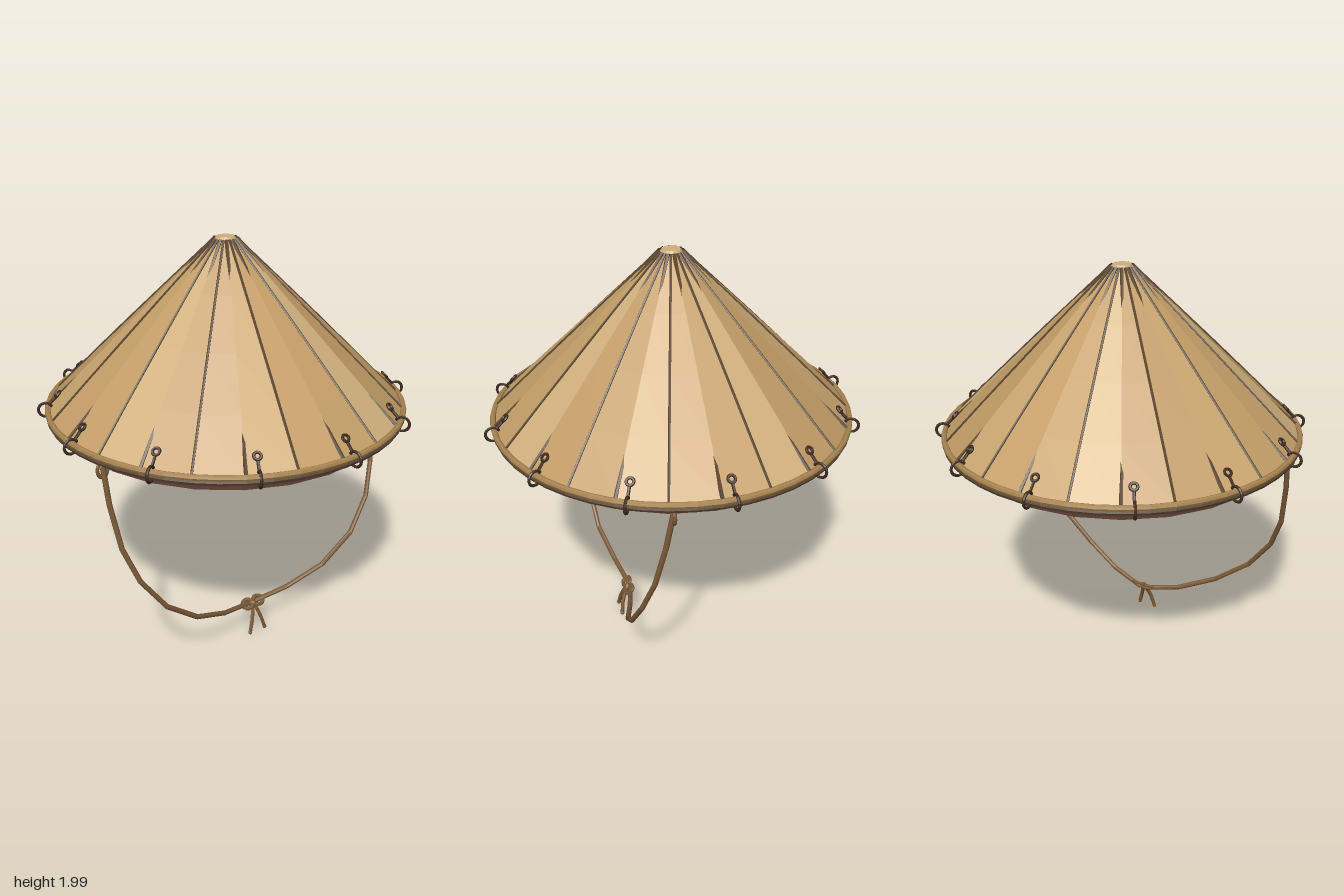
import * as THREE from 'three';

const mat = (color) => new THREE.MeshStandardMaterial({ color, flatShading: true, side: THREE.DoubleSide });
const V = (x, y, z) => new THREE.Vector3(x, y, z);

function add(parent, name, geometry, material) {
  const mesh = new THREE.Mesh(geometry, material);
  mesh.name = name;
  parent.add(mesh);
  return mesh;
}

// Tube through a few points
function cord(points, radius, segments, sides = 6) {
  return new THREE.TubeGeometry(new THREE.CatmullRomCurve3(points), segments, radius, sides, false);
}

// Straight rod with closed ends between two points
function rod(a, b, r1, r2 = r1, sides = 6) {
  const d = b.clone().sub(a);
  const g = new THREE.CylinderGeometry(r2, r1, d.length(), sides);
  g.applyQuaternion(new THREE.Quaternion().setFromUnitVectors(V(0, 1, 0), d.normalize()));
  const m = a.clone().add(b).multiplyScalar(0.5);
  return g.translate(m.x, m.y, m.z);
}

export function createModel() {
  const hat = new THREE.Group();
  hat.name = 'conicalHat';

  const straw = [0xc49f68, 0xc9a670, 0xbf9a64, 0xd0b07e].map(mat);
  const rib = mat(0x5c4630);
  const rimLight = mat(0xa5824f);
  const band = mat(0x5d4037);
  const rope = mat(0x7a5a38);
  const twine = mat(0x3e2c20);

  // Woven panels, one per gap between ribs
  const COUNT = 24, STEP = Math.PI * 2 / COUNT;
  const profile = [[0.85, 1.205], [0.655, 1.4], [0.455, 1.595], [0.255, 1.79], [0.055, 1.98]]
    .map(([r, y]) => new THREE.Vector2(r, y));
  const panels = new THREE.Group();
  panels.name = 'strawPanels';
  hat.add(panels);
  for (let i = 0; i < COUNT; i++) {
    const tone = straw[(i * 7 + Math.floor(i / 3)) % straw.length];
    add(panels, 'panel', new THREE.LatheGeometry(profile, 1, i * STEP, STEP), tone);
  }

  // Ribs: thick ones dip into the straw half way, thin ones stay on top
  const ribs = new THREE.Group();
  ribs.name = 'ribs';
  hat.add(ribs);
  for (let i = 0; i < COUNT; i++) {
    const thick = i % 2 === 0;
    const sag = thick ? 0.014 : -0.001;
    const path = [V(0.052, 1.985, 0), V(0.455 - sag, 1.595 - sag, 0), V(0.848, 1.21, 0)];
    const r = add(ribs, 'rib', cord(path, thick ? 0.009 : 0.006, 8, 5), rib);
    r.rotation.y = i * STEP;
  }

  // Crown button
  add(hat, 'crown', new THREE.CylinderGeometry(0.042, 0.062, 0.03, 16), straw[3]).position.y = 1.98;

  // Rim hoops
  const hoop = (name, radius, tube, y, material) => {
    const m = add(hat, name, new THREE.TorusGeometry(radius, tube, 8, 48), material);
    m.rotation.x = Math.PI / 2;
    m.position.y = y;
  };
  hoop('lowerHoop', 0.842, 0.017, 1.192, rib);
  hoop('upperHoop', 0.848, 0.014, 1.212, rimLight);

  // Inner head band
  const bandShape = [[0.745, 1.215], [0.745, 1.11], [0.76, 1.11], [0.76, 1.215], [0.745, 1.215]]
    .map(([r, y]) => new THREE.Vector2(r, y));
  add(hat, 'headBand', new THREE.LatheGeometry(bandShape, 24), band);

  // Twine ties round the rim, each with a small eye on the slope
  for (let i = 0; i < 12; i++) {
    const tie = new THREE.Group();
    tie.name = 'rimTie';
    tie.rotation.y = THREE.MathUtils.degToRad(3.6 - 30 * i);
    hat.add(tie);
    add(tie, 'loop', new THREE.TorusGeometry(0.034, 0.007, 6, 16), twine).position.set(0.857, 1.207, 0);
    add(tie, 'stem', rod(V(0.838, 1.235, 0), V(0.803, 1.27, 0), 0.007), twine);
    const eye = add(tie, 'eye', new THREE.TorusGeometry(0.016, 0.007, 6, 12), twine);
    eye.position.set(0.796, 1.282, 0);
    eye.rotation.set(0, Math.PI / 2, Math.PI / 4, 'ZYX');
  }

  // Chin cord, knot loop and loose tail on each side
  for (const s of [-1, 1]) {
    const side = new THREE.Group();
    side.name = s > 0 ? 'leftChinCord' : 'rightChinCord';
    hat.add(side);
    const path = [
      [0.78, 1.14, 0.19], [0.775, 0.97, 0.22], [0.75, 0.76, 0.265], [0.69, 0.59, 0.31],
      [0.57, 0.42, 0.335], [0.395, 0.28, 0.32], [0.2, 0.19, 0.27], [0.02, 0.15, 0.23],
    ].map(([x, y, z]) => V(s * x, y, z));
    for (let i = 0; i < path.length - 1; i++) {
      add(side, 'cord', rod(path[i], path[i + 1], 0.0125, 0.0125, 8), rope);
      add(side, 'cordBend', new THREE.SphereGeometry(0.0125, 8, 6), rope).position.copy(path[i + 1]);
    }
    // Eyelet through the head band
    const eyelet = add(side, 'eyelet', new THREE.TorusGeometry(0.025, 0.009, 6, 14), rope);
    eyelet.scale.y = 1.3;
    eyelet.position.set(s * 0.782, 1.13, 0.19);
    // Bow loop
    const bow = add(side, 'knotLoop', new THREE.TorusGeometry(0.024, 0.01, 6, 14), rope);
    bow.scale.x = 1.2;
    bow.rotation.x = -0.9;
    bow.position.set(s * 0.033, 0.157, 0.24);
    // Tail
    add(side, 'tail', cord([V(s * 0.005, 0.15, 0.245), V(s * 0.025, 0.085, 0.272), V(s * 0.046, 0.012, 0.283)], 0.01, 5), rope);
    add(side, 'tailTip', new THREE.SphereGeometry(0.0115, 6, 5), rope).position.set(s * 0.046, 0.012, 0.283);
  }
  add(hat, 'knot', new THREE.SphereGeometry(0.02, 8, 6), rope).position.set(0, 0.15, 0.24);

  return hat;
}
